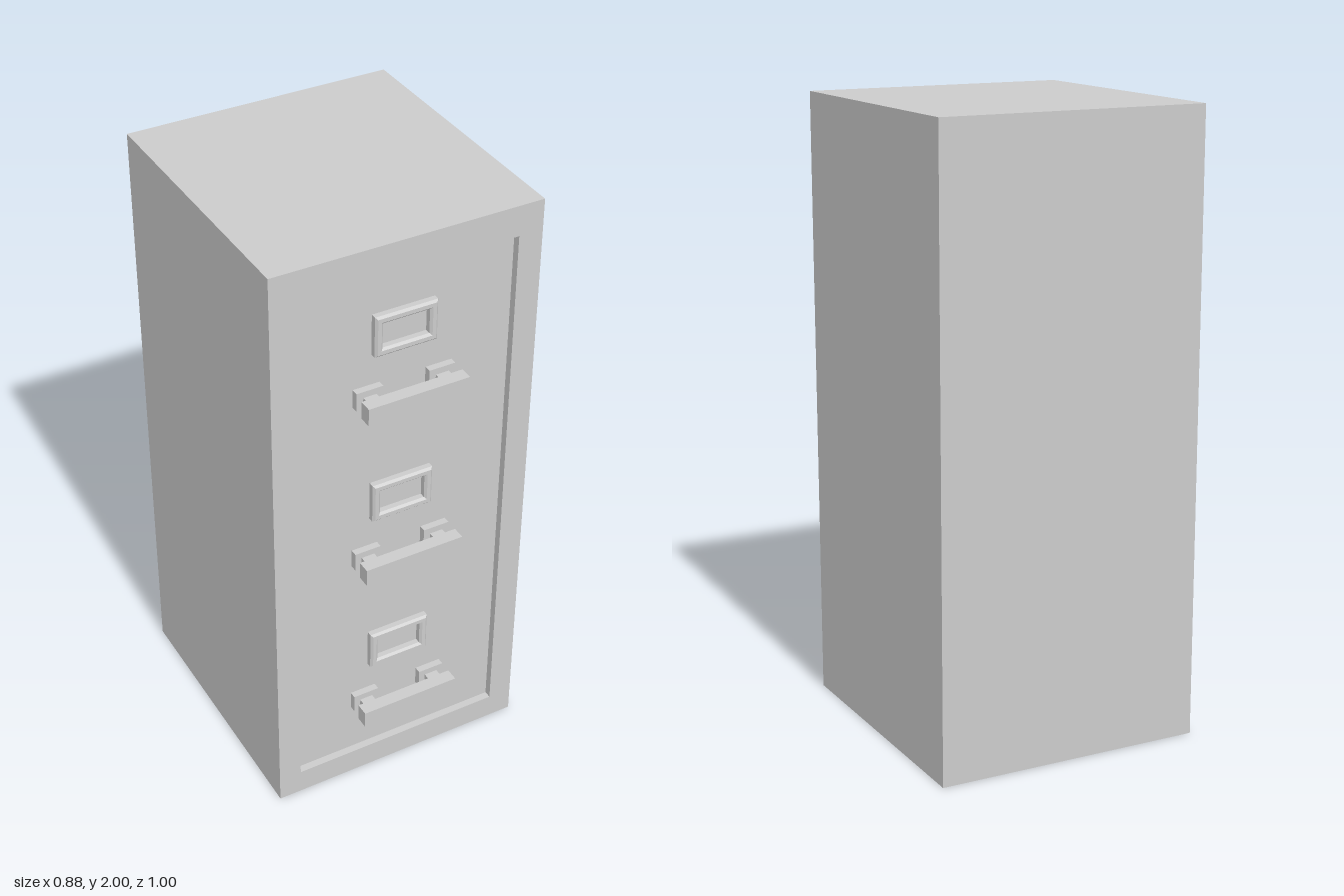
import * as THREE from 'three';

const material = new THREE.MeshStandardMaterial({ color: 0xcccccc });

const BACK = -0.498, FRONT = 0.419, RECESS = 0.025;
const PANEL = FRONT - RECESS; // plane of the drawer fronts
const OFF = -0.002; // fittings sit a hair off the centre line

function add(parent, name, geometry) {
  const mesh = new THREE.Mesh(geometry, material);
  mesh.name = name;
  parent.add(mesh);
  return mesh;
}

// Box given by its two extreme corners
function box(parent, name, [x0, y0, z0], [x1, y1, z1]) {
  const mesh = add(parent, name, new THREE.BoxGeometry(x1 - x0, y1 - y0, z1 - z0));
  mesh.position.set((x0 + x1) / 2, (y0 + y1) / 2, (z0 + z1) / 2);
  return mesh;
}

function rectangle(target, x0, y0, x1, y1) {
  target.moveTo(x0, y0);
  target.lineTo(x1, y0);
  target.lineTo(x1, y1);
  target.lineTo(x0, y1);
  target.closePath();
  return target;
}

// Rectangular ring: outer and inner are [x0, y0, x1, y1]
function ring(outer, inner, options) {
  const shape = rectangle(new THREE.Shape(), ...outer);
  shape.holes.push(rectangle(new THREE.Path(), ...inner));
  return new THREE.ExtrudeGeometry(shape, options);
}

// Label holder with slightly bevelled edges
function labelHolder(parent) {
  const bevel = 0.007;
  const geometry = ring([-0.103, -0.068, 0.103, 0.068], [-0.077, -0.041, 0.077, 0.041], {
    depth: RECESS - bevel, bevelEnabled: true, bevelSegments: 1,
    bevelSize: bevel, bevelThickness: bevel, bevelOffset: -bevel,
  });
  const holder = add(parent, 'labelHolder', geometry);
  holder.position.set(OFF, 0.202, PANEL);
}

// Bar pull on two posts with mounting plates
function pull(parent) {
  const handle = new THREE.Group();
  handle.name = 'handle';
  box(handle, 'handleBar', [-0.168 + OFF, -0.029, 0.454], [0.168 + OFF, 0.029, 0.497]);
  for (const side of [-1, 1]) {
    const x = side * 0.121;
    box(handle, 'handlePost', [x - 0.022, -0.01, PANEL], [x + 0.022, 0.01, 0.456]);
    box(handle, 'mountingPlate', [x - 0.044, -0.031, PANEL - 0.005], [x + 0.044, 0.031, FRONT - 0.002]);
  }
  parent.add(handle);
}

export function createModel() {
  const cabinet = new THREE.Group();
  cabinet.name = 'filingCabinet';

  // Carcass and the raised rim round the drawer fronts
  box(cabinet, 'body', [-0.44, 0, BACK], [0.44, 2, PANEL]);
  const rim = add(cabinet, 'frontRim', ring(
    [-0.44, 0, 0.44, 2], [-0.362 + OFF, 0.085, 0.362 + OFF, 1.9],
    { depth: RECESS, bevelEnabled: false }));
  rim.position.z = PANEL;

  // Three identical sets of fittings, measured from each handle
  for (let i = 0; i < 3; i++) {
    const drawer = new THREE.Group();
    drawer.name = 'drawerFittings';
    drawer.position.y = 0.297 + 0.6 * i;
    labelHolder(drawer);
    pull(drawer);
    cabinet.add(drawer);
  }
  return cabinet;
}
